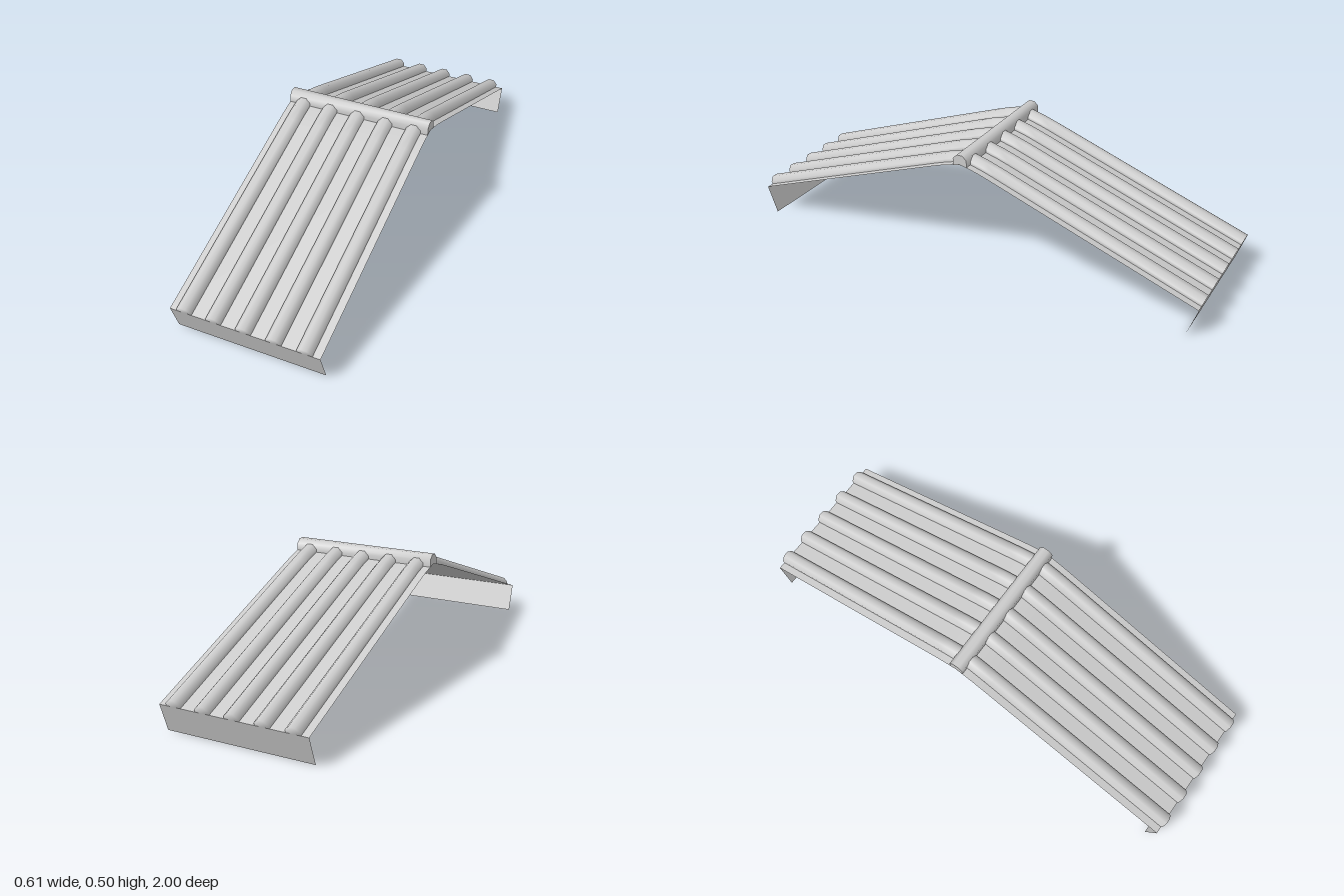
import * as THREE from 'three';
import { toCreasedNormals } from 'three/addons/utils/BufferGeometryUtils.js';

const HALF_WIDTH = 0.305;

// Roof line from eave to ridge as [z, y], mirrored to the other slope
const slope = [[0.99, 0.115], [0.13, 0.425], [0.08, 0.442], [0.03, 0.456]];
const roofPath = [
  ...slope.map(([z, y]) => [-z, y]),
  [0, 0.462],
  ...slope.slice().reverse(),
];

// Sweeps a profile of [x, height] points along a path of [z, y] points
function sweep(path, profile, capped = false) {
  const pos = [], index = [], n = profile.length, last = path.length - 1;
  path.forEach(([z, y], i) => {
    const a = path[Math.max(i - 1, 0)], b = path[Math.min(i + 1, last)];
    const t = new THREE.Vector2(b[0] - a[0], b[1] - a[1]).normalize();
    for (const [x, h] of profile) pos.push(x, y + t.x * h, z - t.y * h);
  });
  for (let i = 0; i < last; i++) {
    for (let j = 0; j < n - 1; j++) {
      const a = i * n + j, b = a + n;
      index.push(a, b, a + 1, b, b + 1, a + 1);
    }
  }
  if (capped) {
    // Fans closing both ends, centred on the path
    const c = pos.length / 3;
    for (const [z, y] of [path[0], path[last]]) pos.push(0, y, z);
    for (let j = 0; j < n - 1; j++) {
      index.push(c, j, j + 1);
      index.push(c + 1, last * n + j + 1, last * n + j);
    }
  }
  const geo = new THREE.BufferGeometry();
  geo.setAttribute('position', new THREE.Float32BufferAttribute(pos, 3));
  geo.setIndex(index);
  geo.computeVertexNormals();
  return geo;
}

export function createModel() {
  const group = new THREE.Group();
  const material = new THREE.MeshStandardMaterial({ color: 0xcccccc, side: THREE.DoubleSide });
  const add = (name, geo) => {
    const mesh = new THREE.Mesh(geo, material);
    mesh.name = name;
    group.add(mesh);
    return mesh;
  };

  // Thin bent roof sheet
  const flat = [[-HALF_WIDTH, 0], [HALF_WIDTH, 0]];
  add('roofSheet', sweep(roofPath, flat));

  // Eave boards hanging square to each slope
  add('frontFascia', sweep([[0.95, 0], [0.99, 0.115]], flat));
  add('backFascia', sweep([[-0.99, 0.115], [-0.95, 0]], flat));

  // Rounded tile ribs running over both slopes
  const rib = [[-0.03, 0], [-0.03, 0.0125], [-0.0125, 0.03], [0.0125, 0.03], [0.03, 0.0125], [0.03, 0]];
  const ribGeo = sweep(roofPath, rib, true);
  for (let i = -2; i <= 2; i++) add('tileRib', ribGeo).position.x = i * 0.122;

  // Ridge cap, its underside following the sheet
  const capShape = new THREE.Shape([
    [0.03, 0.455], [0.03, 0.485], [0.0125, 0.502], [-0.0125, 0.502],
    [-0.03, 0.485], [-0.03, 0.455], [0, 0.463],
  ].map(([z, y]) => new THREE.Vector2(z, y)));
  const cap = new THREE.ExtrudeGeometry(capShape, { depth: 2 * HALF_WIDTH, bevelEnabled: false });
  cap.translate(0, 0, -HALF_WIDTH).rotateY(Math.PI / 2);
  add('ridgeCap', toCreasedNormals(cap, Math.PI / 3));

  return group;
}
